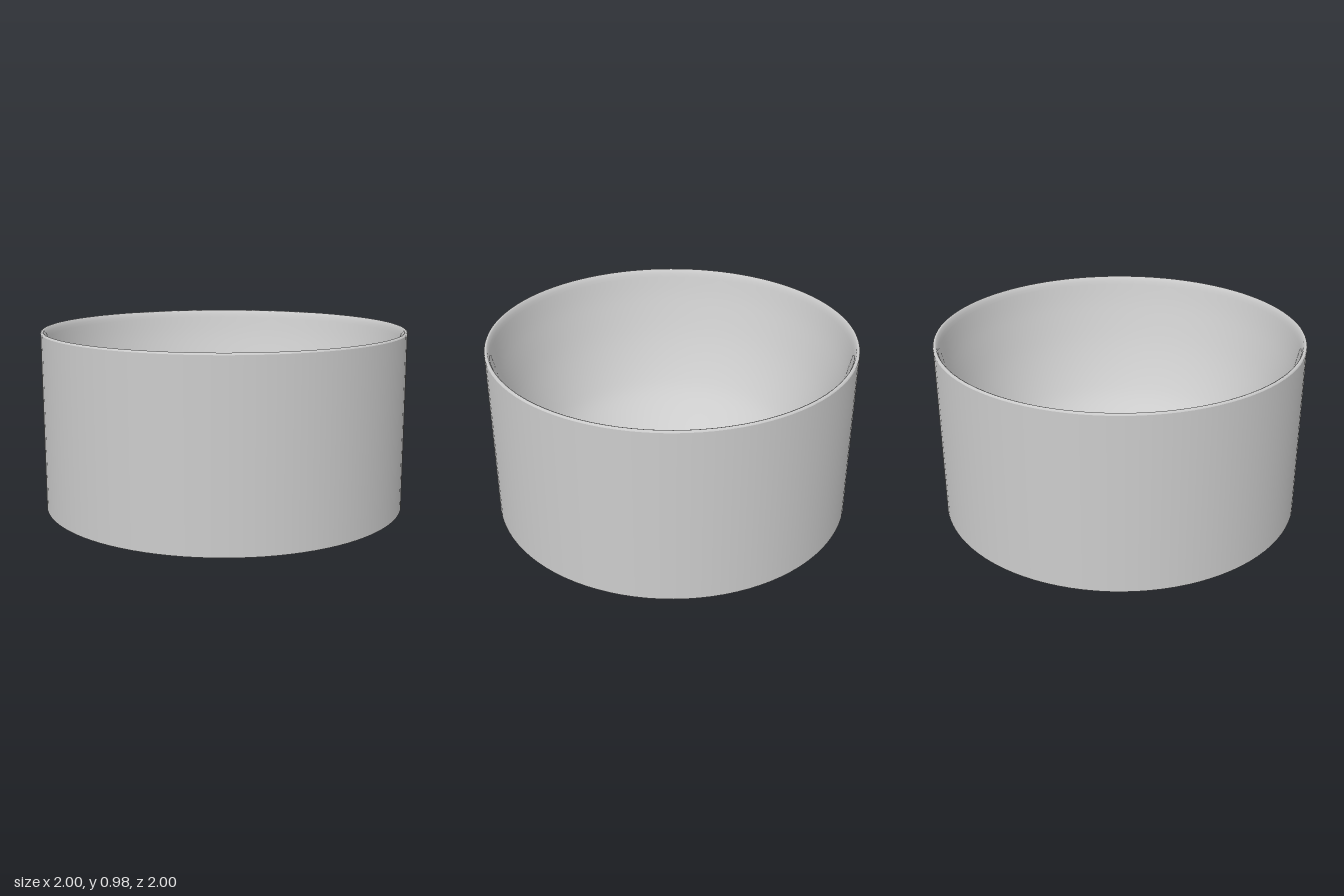
import * as THREE from 'three';

const SEGMENTS = 96;
const HEIGHT = 0.975;

export function createModel() {
  const group = new THREE.Group();
  group.name = 'bowl';
  const material = new THREE.MeshStandardMaterial({ color: 0xcccccc });

  const addLathe = (name, points) => {
    const mesh = new THREE.Mesh(new THREE.LatheGeometry(points, SEGMENTS), material);
    mesh.name = name;
    group.add(mesh);
  };
  const v = (x, y) => new THREE.Vector2(x, y);

  // Straight outer wall
  const wallTop = 0.965;
  addLathe('outerWall', [v(1, 0), v(1, wallTop)]);

  // Thin soft lip blending into the hollow, which flattens towards its floor
  const floorY = 0.05;
  const lip = [v(1, wallTop), v(0.997, 0.972), v(0.99, HEIGHT), v(0.982, 0.971)];
  const hollow = new THREE.SplineCurve([
    v(0.973, 0.95), v(0.93, 0.79), v(0.85, 0.57), v(0.75, 0.375),
    v(0.65, 0.243), v(0.48, 0.11), v(0.35, 0.061), v(0.22, floorY),
  ]);
  addLathe('lipAndHollow', [...lip, ...hollow.getPoints(35), v(0, floorY)]);

  // Flat underside
  const base = new THREE.Mesh(new THREE.CircleGeometry(1, SEGMENTS), material);
  base.name = 'base';
  base.rotation.x = Math.PI / 2;
  group.add(base);

  return group;
}
